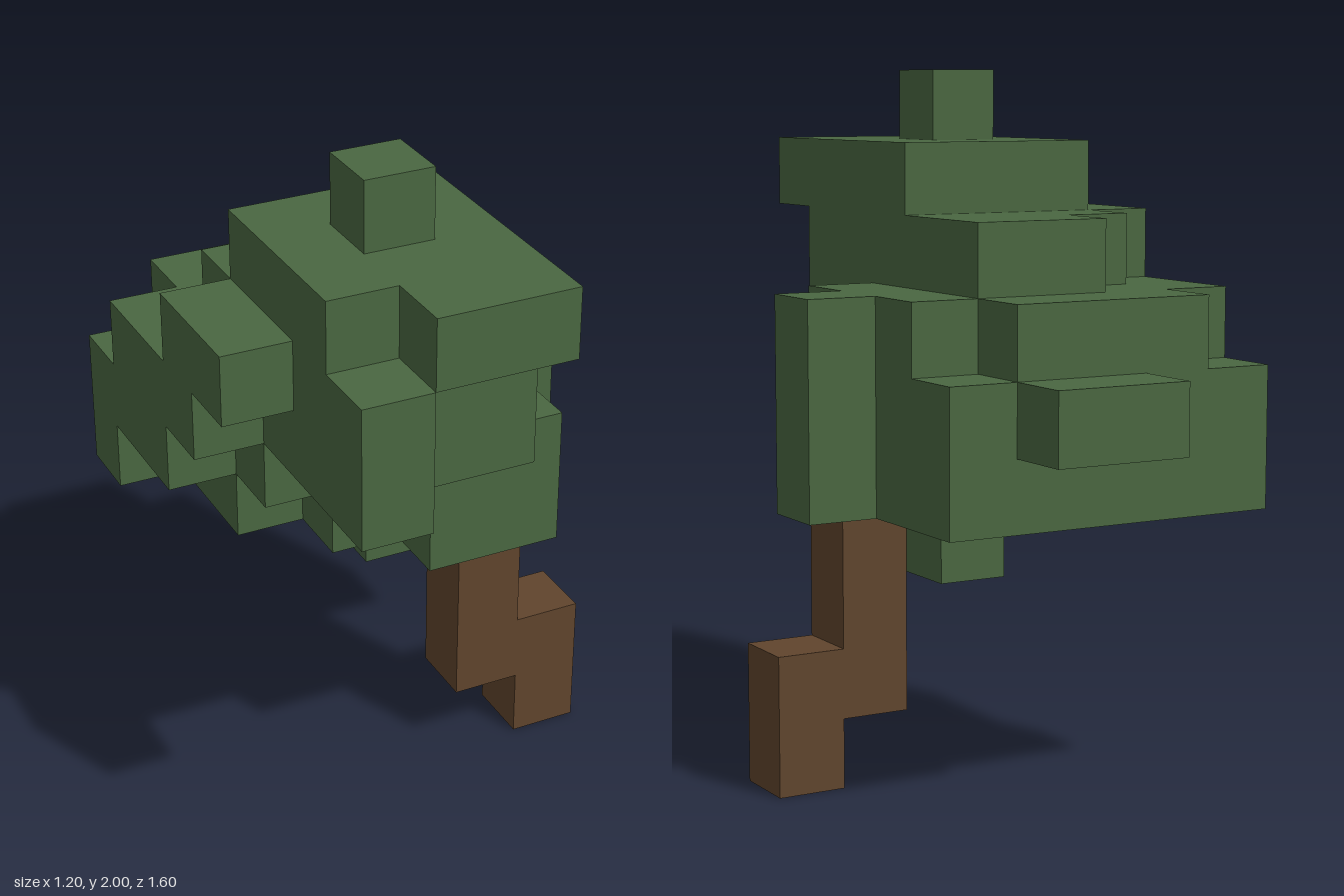
import * as THREE from 'three';
import { mergeGeometries } from 'three/addons/utils/BufferGeometryUtils.js';

const S = 0.2; // edge of one block

// Each layer, bottom to top: runs of blocks [column x, first z, last z]
const crownLayers = {
  3: [[0, -1, -1]],
  4: [[-3, -3, -3], [-2, -3, -1], [-1, -3, 0], [0, -3, 1], [1, -3, 1], [2, -1, -1]],
  5: [[-3, -3, -1], [-2, -3, 0], [-1, -4, 0], [0, -4, 1], [1, -3, 1], [2, -1, -1]],
  6: [[-3, -2, 0], [-2, -3, 3], [-1, -3, 2], [0, -3, 2], [1, -2, 0], [2, -1, -1]],
  7: [[-3, 0, 1], [-2, -1, 3], [-1, -2, 2], [0, -2, 2]],
  8: [[-2, 0, 2], [-1, 0, 3], [0, 0, 3]],
  9: [[-1, 1, 1]],
};
const trunkLayers = {
  0: [[2, 0, 0]],
  1: [[1, 0, 0], [2, 0, 0]],
  2: [[1, 0, 0]],
  3: [[1, 0, 0]],
};

// Lists every block of a set of layers
function blocksOf(layers) {
  const blocks = [];
  for (const [y, runs] of Object.entries(layers)) {
    for (const [x, z0, z1] of runs) {
      for (let z = z0; z <= z1; z++) blocks.push([x, Number(y), z]);
    }
  }
  return blocks;
}

// Six block sides: outward direction and the turn that aims a plane that way
const H = Math.PI / 2;
const sides = [
  { d: [0, 0, 1], r: [0, 0] },
  { d: [0, 0, -1], r: [0, Math.PI] },
  { d: [1, 0, 0], r: [0, H] },
  { d: [-1, 0, 0], r: [0, -H] },
  { d: [0, 1, 0], r: [-H, 0] },
  { d: [0, -1, 0], r: [H, 0] },
];

// Joins the block sides that do not touch another block
function blockGeometry(blocks, filled) {
  const faces = [];
  for (const [x, y, z] of blocks) {
    for (const { d, r } of sides) {
      if (filled.has([x + d[0], y + d[1], z + d[2]].join())) continue;
      const face = new THREE.PlaneGeometry(S, S);
      face.rotateX(r[0]).rotateY(r[1]);
      face.translate(
        (x + 0.5 + d[0] / 2) * S,
        (y + 0.5 + d[1] / 2) * S,
        (z + 0.5 + d[2] / 2) * S
      );
      faces.push(face);
    }
  }
  return mergeGeometries(faces);
}

export function createModel() {
  const leafGreen = new THREE.MeshStandardMaterial({ color: 0x4a6741 });
  leafGreen.name = 'leafGreen';
  const barkBrown = new THREE.MeshStandardMaterial({ color: 0x60452d });
  barkBrown.name = 'barkBrown';

  const crownBlocks = blocksOf(crownLayers);
  const trunkBlocks = blocksOf(trunkLayers);
  const filled = new Set([...crownBlocks, ...trunkBlocks].map((b) => b.join()));

  const tree = new THREE.Group();
  tree.name = 'blockTree';

  // Leafy crown
  const crown = new THREE.Mesh(blockGeometry(crownBlocks, filled), leafGreen);
  crown.name = 'crown';

  // Stepped trunk
  const trunk = new THREE.Mesh(blockGeometry(trunkBlocks, filled), barkBrown);
  trunk.name = 'trunk';

  tree.add(crown, trunk);
  return tree;
}
